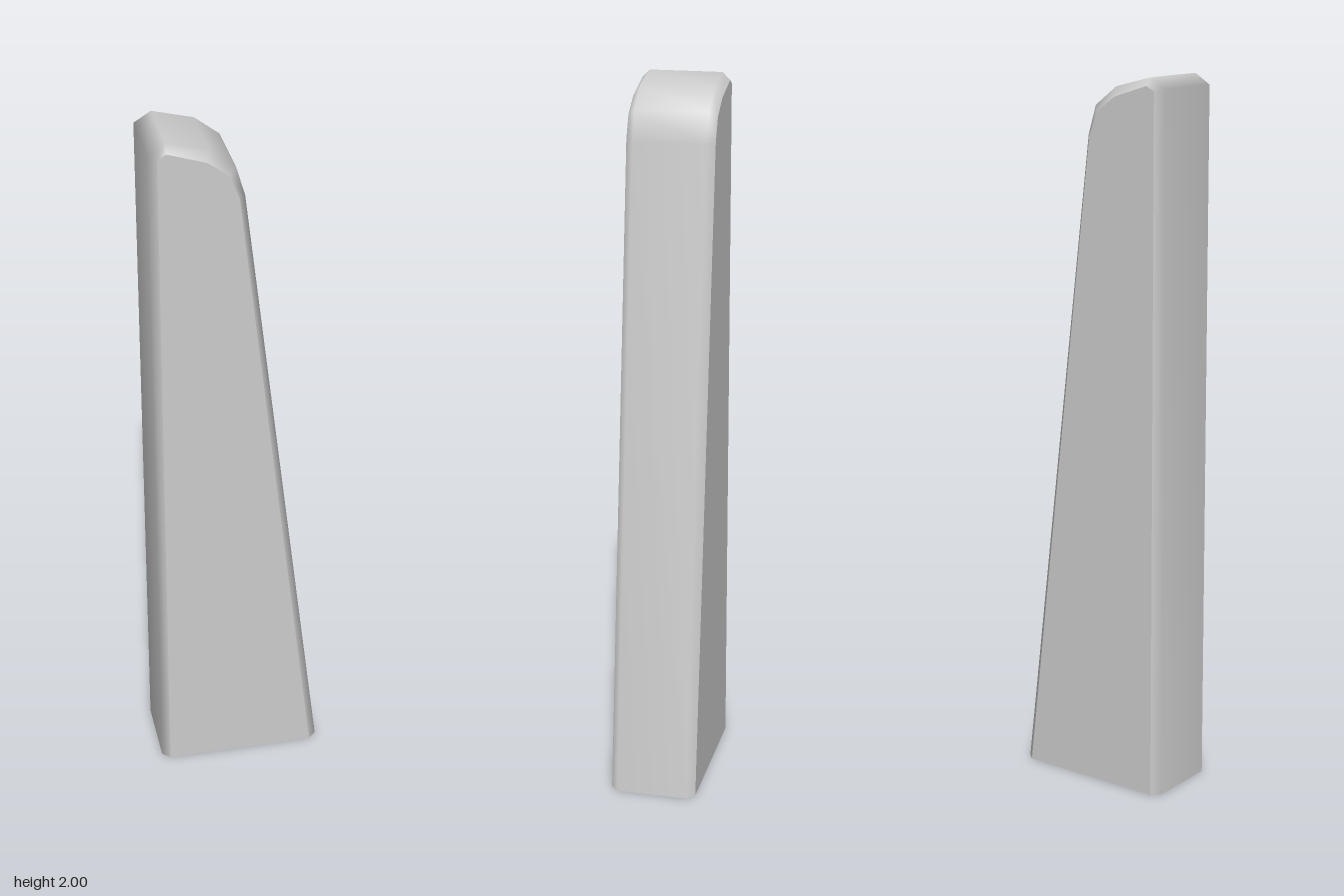
import * as THREE from 'three';

// Side profile as [length, height], from the front foot over the top to the back foot
const OUTER = [[0.237, 0], [0.012, 1.84], [-0.012, 1.92], [-0.08, 1.972], [-0.192, 2], [-0.238, 1.971], [-0.238, 0]];
// The same profile drawn in by the bevel
const INNER = [[0.214, 0], [-0.006, 1.84], [-0.032, 1.905], [-0.088, 1.946], [-0.192, 1.979], [-0.216, 1.966], [-0.216, 0]];
const HALF = 0.123; // half thickness at the side faces
const EDGE = 0.102; // half thickness where the bevel begins

const shapeOf = (pts) => new THREE.Shape(pts.map(([x, y]) => new THREE.Vector2(x, y)));

// Smooth band running over front, top and back, with a bevel on both sides
function bandGeometry() {
  const rows = [[INNER, HALF], [OUTER, EDGE], [OUTER, -EDGE], [INNER, -HALF]];
  const pos = [], index = [], n = OUTER.length;
  for (const [pts, z] of rows) for (const [x, y] of pts) pos.push(x, y, z);
  for (let r = 0; r < rows.length - 1; r++) {
    for (let i = 0; i < n - 1; i++) {
      const a = r * n + i, b = a + n;
      index.push(a, b, a + 1, b, b + 1, a + 1);
    }
  }
  const g = new THREE.BufferGeometry();
  g.setAttribute('position', new THREE.Float32BufferAttribute(pos, 3));
  g.setIndex(index);
  g.computeVertexNormals();
  return g;
}

export function createModel() {
  const group = new THREE.Group();
  group.name = 'taperedPost';
  const material = new THREE.MeshStandardMaterial({ color: 0xcccccc });
  const add = (name, geometry) => {
    const mesh = new THREE.Mesh(geometry, material);
    mesh.name = name;
    group.add(mesh);
  };

  add('beveledBand', bandGeometry());

  // Flat side faces
  add('frontSide', new THREE.ShapeGeometry(shapeOf(INNER)).translate(0, 0, HALF));
  const mirrored = INNER.map(([x, y]) => [-x, y]);
  add('backSide', new THREE.ShapeGeometry(shapeOf(mirrored)).translate(0, 0, HALF).rotateY(Math.PI));

  // Flat foot with clipped corners
  const [f, fi, b, bi] = [OUTER[0][0], INNER[0][0], OUTER[6][0], INNER[6][0]];
  const foot = [[f, -EDGE], [f, EDGE], [fi, HALF], [bi, HALF], [b, EDGE], [b, -EDGE], [bi, -HALF], [fi, -HALF]];
  add('foot', new THREE.ShapeGeometry(shapeOf(foot)).rotateX(Math.PI / 2));

  // The post stands turned about its vertical axis
  group.rotation.y = -0.668;
  return group;
}
